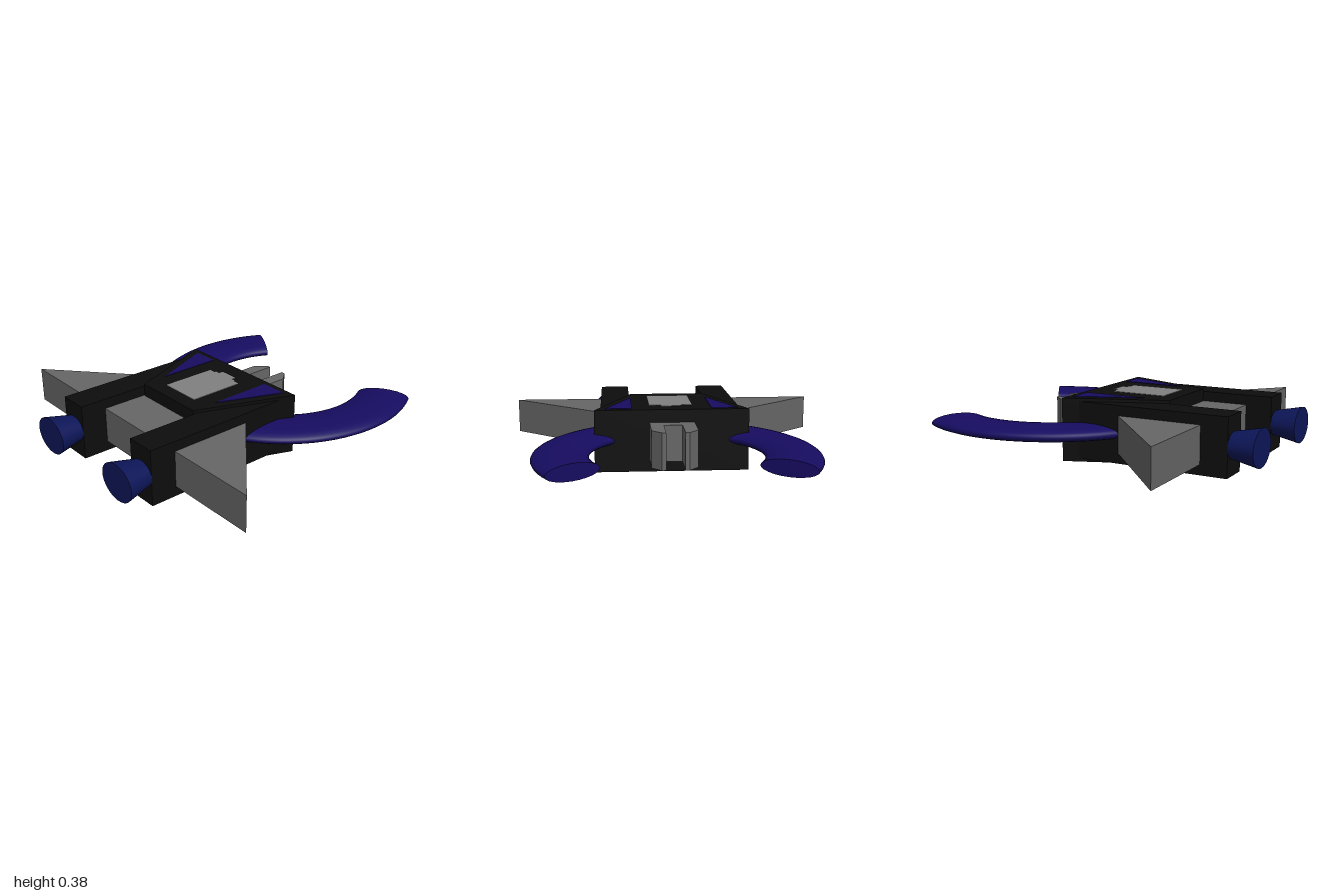
import * as THREE from 'three';
import { mergeGeometries } from 'three/addons/utils/BufferGeometryUtils.js';

const mat = (color, extra = {}) => new THREE.MeshStandardMaterial({ color, ...extra });

const MID = 0.19; // height of the centre line

// Upright prism from a plan outline of [x, z] points, between heights y0 and y1
function prism(name, points, y0, y1, material) {
  const shape = new THREE.Shape(points.map(([x, z]) => new THREE.Vector2(x, -z)));
  const geo = new THREE.ExtrudeGeometry(shape, { depth: y1 - y0, bevelEnabled: false });
  geo.rotateX(-Math.PI / 2).translate(0, y0, 0);
  const mesh = new THREE.Mesh(geo, material);
  mesh.name = name;
  return mesh;
}

// Completes a right-hand half outline with its mirror image
const mirrored = (half) => [...half, ...half.map(([x, z]) => [-x, z]).reverse()];

export function createModel() {
  const group = new THREE.Group();
  const black = mat(0x0d0d0d);
  const grey = mat(0x666666);
  const lightGrey = mat(0x808080);
  const violet = mat(0x160c60, { side: THREE.DoubleSide });
  const navy = mat(0x0d1658);

  // Tapered central hull and the swept wing passing through it
  group.add(prism('hull', mirrored([[0.465, -0.195], [0.235, 0.39]]), 0, 0.378, black));
  group.add(prism('wing', mirrored([[0.3, 0.045], [1, 0.67]]), 0.08, 0.3, grey));

  // Forked prong
  group.add(prism('fork', mirrored([
    [0.055, -0.28], [0.055, -0.49], [0.08, -0.49], [0.135, -0.425], [0.135, -0.15],
  ]), 0.08, 0.3, grey));

  // Canopy plate with a stepped edge
  group.add(prism('canopy', mirrored([
    [0.06, -0.085], [0.06, -0.055], [0.09, -0.055], [0.09, -0.045], [0.133, -0.045], [0.133, 0.3],
  ]), 0.37, 0.381, lightGrey));

  // Curved horns: one flattened ring segment with closed ends
  const R = 0.6475, r = 0.16, start = -Math.PI / 6, arc = Math.PI * 4 / 3;
  const ring = new THREE.TorusGeometry(R, r, 24, 72, arc).rotateZ(start);
  const caps = [start, start + arc].map((angle) =>
    new THREE.CircleGeometry(r, 24).rotateX(Math.PI / 2).translate(R, 0, 0).rotateZ(angle));
  const hornGeo = mergeGeometries([ring, ...caps]);
  hornGeo.rotateX(Math.PI / 2).scale(1, 0.295, 1.06).translate(0, MID, -0.562);
  const horns = new THREE.Mesh(hornGeo, violet);
  horns.name = 'horns';
  group.add(horns);

  for (const side of [1, -1]) {
    const label = side > 0 ? 'left' : 'right';

    // Engine boom
    const boom = new THREE.Mesh(new THREE.BoxGeometry(0.184, 0.34, 0.98), black);
    boom.name = label + 'Boom';
    boom.position.set(side * 0.336, MID, 0.34);
    group.add(boom);

    // Flared oval thruster
    const thrusterGeo = new THREE.CylinderGeometry(0.137, 0.095, 0.16, 32);
    thrusterGeo.rotateX(Math.PI / 2).scale(1, 0.8, 1);
    const thruster = new THREE.Mesh(thrusterGeo, navy);
    thruster.name = label + 'Thruster';
    thruster.position.set(side * 0.338, MID, 0.91);
    group.add(thruster);

    // Triangular deck panel
    group.add(prism(label + 'DeckPanel',
      [[side * 0.4, -0.16], [side * 0.24, -0.16], [side * 0.24, 0.23]], 0.37, 0.381, violet));
  }
  return group;
}
